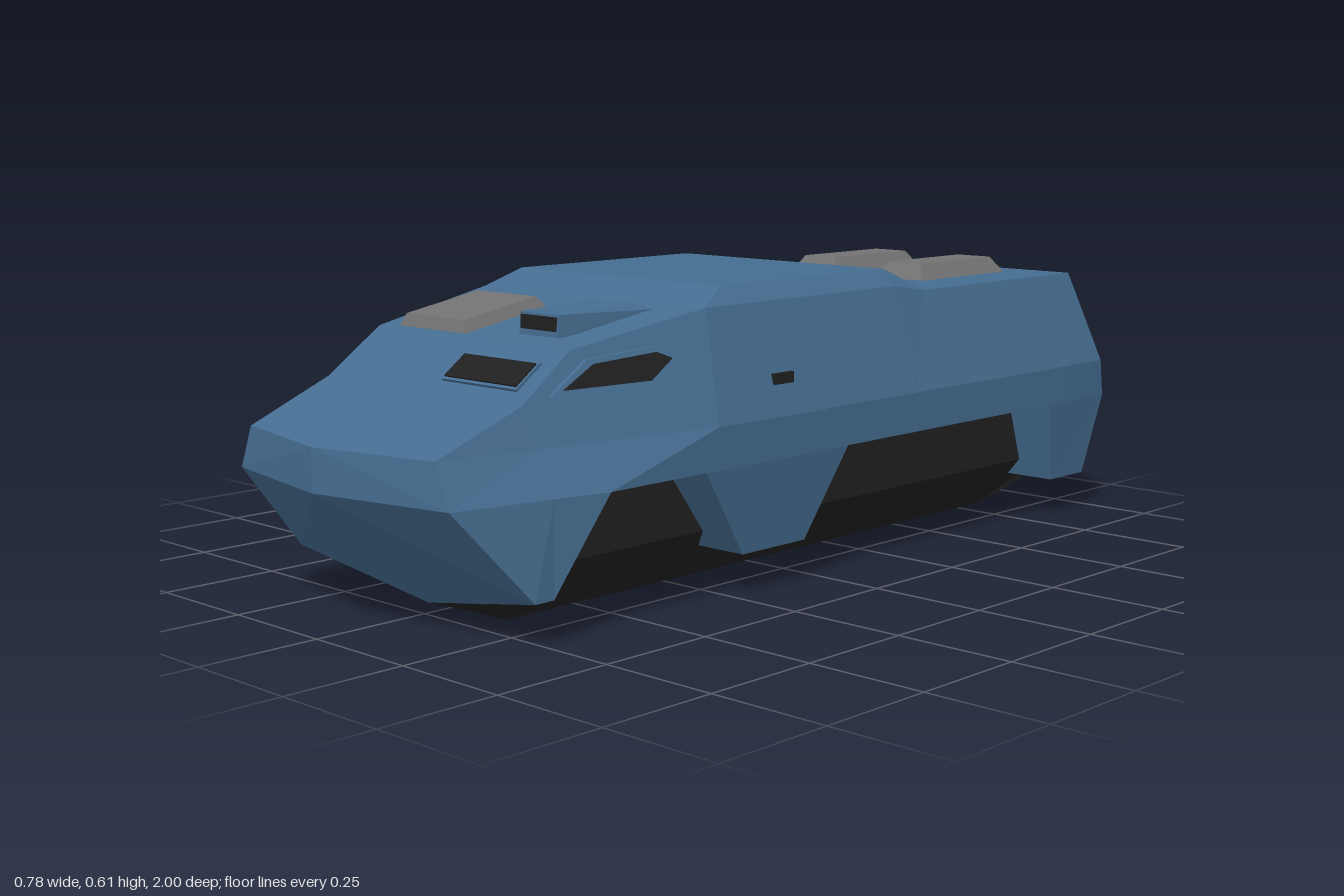
import * as THREE from 'three';
import { ConvexGeometry } from 'three/addons/geometries/ConvexGeometry.js';

const paint = (name, color) => new THREE.MeshStandardMaterial({ name, color, flatShading: true, side: THREE.DoubleSide });

// Collects flat quads, mirrored across x = 0, into one faceted geometry
class Facets {
  constructor() { this.pos = []; }
  tri(a, b, c) {
    const [p, q, r] = [a, b, c].map(v => new THREE.Vector3(...v));
    if (q.clone().sub(p).cross(r.clone().sub(p)).length() < 1e-7) return;
    this.pos.push(...a, ...b, ...c);
  }
  quad(a, b, c, d) {
    const m = ([x, y, z]) => [-x, y, z];
    this.tri(a, b, c); this.tri(a, c, d);
    this.tri(m(c), m(b), m(a)); this.tri(m(d), m(c), m(a));
  }
  // Skin between cross-sections ordered back to front, each running top to bottom
  loft(sections) {
    for (let i = 0; i + 1 < sections.length; i++) {
      const s = sections[i], t = sections[i + 1];
      for (let r = 0; r + 1 < s.length; r++) this.quad(s[r], t[r], t[r + 1], s[r + 1]);
    }
  }
  geometry() {
    const g = new THREE.BufferGeometry();
    g.setAttribute('position', new THREE.Float32BufferAttribute(this.pos, 3));
    g.computeVertexNormals();
    return g;
  }
}

// Half cross-section of the hull: centre, roof, shoulder, waist, sill, skirt, inner skirt
function section(roof, shoulder, waist, sill, skirt, inner) {
  return [[0, roof[1], roof[2]], roof, shoulder, waist, sill, skirt, inner];
}
function midSection(z, raised, arch) {
  const shoulder = [0.32, raised ? 0.575 : 0.56, z];
  const y = arch ? 0.27 : 0.085;
  return section(raised ? [0.29, 0.61, z] : shoulder, shoulder, [0.385, 0.355, z],
    [0.38, 0.27, z], [arch ? 0.38 : 0.35, y, z], [0.225, y, z]);
}

function hullGeometry() {
  const f = new Facets();
  const roofRear = [0.32, 0.56, -0.925], brow = [0.32, 0.575, 0.31];
  const screenTop = [0.28, 0.52, 0.625], screenBase = [0.285, 0.43, 0.75];
  const noseTop = [0.275, 0.355, 0.94], noseSide = [0.31, 0.27, 0.94], noseLow = [0.35, 0.085, 0.78];
  const rear = section(roofRear, roofRear, [0.382, 0.355, -0.978], [0.375, 0.27, -1], [0.35, 0.085, -0.96], [0.28, 0.085, -0.96]);
  const front = section(noseTop, noseTop, noseTop, noseSide, noseLow, [0.225, 0.062, 0.765]);
  front[0] = [0, 0.355, 1];
  f.loft([
    rear,
    midSection(-0.83, false, false),
    midSection(-0.77, false, true),
    midSection(-0.37, false, true),
    midSection(-0.27, true, true),
    midSection(-0.05, true, true),
    midSection(0.05, true, false),
    midSection(0.235, true, false),
    section(brow, brow, [0.385, 0.355, 0.34], [0.38, 0.27, 0.37], [0.38, 0.27, 0.37], [0.225, 0.27, 0.37]),
    section(screenTop, screenTop, [0.334, 0.355, 0.62], [0.38, 0.27, 0.62], [0.38, 0.27, 0.62], [0.225, 0.27, 0.62]),
    section(screenBase, screenBase, [0.3125, 0.355, 0.735], [0.354, 0.27, 0.735], [0.35, 0.085, 0.735], [0.225, 0.085, 0.735]),
    front,
  ]);
  // Pointed nose plates
  const noseMid = [0, 0.27, 1];
  f.quad(front[0], noseMid, noseSide, noseTop);
  f.quad(noseMid, [0, 0.02, 0.74], noseLow, noseSide);
  // Rear wall and corner pods with a recessed panel between them
  const [centre, , shoulder, waist, sill, skirt, inner] = rear;
  f.quad(shoulder, waist, [0, 0.355, -0.978], centre);
  f.quad(waist, sill, [0, 0.27, -1], [0, 0.355, -0.978]);
  const lip = [0.28, 0.27, -1], panelTop = [0.28, 0.255, -0.968], panelLow = [0.28, 0.085, -0.93];
  f.quad(sill, skirt, inner, lip);
  f.quad(lip, inner, panelLow, panelTop);
  f.quad(lip, panelTop, [0, 0.255, -0.968], [0, 0.27, -1]);
  f.quad(panelTop, panelLow, [0, 0.085, -0.93], [0, 0.255, -0.968]);
  return f.geometry();
}

function bellyGeometry() {
  const f = new Facets();
  const keel = z => [[0.27, 0.275, z], [0.27, 0.125, z], [0.145, 0, z], [0, 0, z]];
  f.loft([
    [[0.27, 0.275, -0.93], [0.27, 0.125, -0.93], [0.25, 0.085, -0.925], [0, 0.085, -0.925]],
    keel(-0.83),
    keel(0.67),
    [[0.27, 0.275, 0.76], [0.27, 0.125, 0.76], [0.2, 0.055, 0.757], [0, 0.02, 0.738]],
  ]);
  return f.geometry();
}

// Thin door skins following the side, just proud of it
function doorGeometry() {
  const f = new Facets();
  const rows = [[0.324, 0.572, 0.04, 0.23], [0.389, 0.355, 0.03, 0.235], [0.384, 0.27, 0.03, 0.235], [0.359, 0.11, 0.06, 0.2]];
  f.loft([rows.map(([x, y, z]) => [x, y, z]), rows.map(([x, y, , z]) => [x, y, z])]);
  return f.geometry();
}

// Box whose top is drawn in by a bevel
function hatchGeometry(w, h, d, bevel) {
  const g = new THREE.BoxGeometry(w, h, d).toNonIndexed(), p = g.attributes.position;
  for (let i = 0; i < p.count; i++) {
    if (p.getY(i) < 0) continue;
    p.setX(i, p.getX(i) - Math.sign(p.getX(i)) * bevel);
    p.setZ(i, p.getZ(i) - Math.sign(p.getZ(i)) * bevel);
  }
  g.computeVertexNormals();
  return g;
}

// Plate drawn in (z, y) and laid onto the sloping cheek beside the windscreen
function cheekPlate(points, depth) {
  const shape = new THREE.Shape(points.map(([z, y]) => new THREE.Vector2(-z, y)));
  const g = new THREE.ExtrudeGeometry(shape, { depth, bevelEnabled: false }), p = g.attributes.position;
  for (let i = 0; i < p.count; i++) {
    const z = -p.getX(i), y = p.getY(i);
    p.setXYZ(i, 0.561 - 0.32 * y - 0.183 * z + p.getZ(i), y, z);
  }
  g.computeVertexNormals();
  return g;
}

export function createModel() {
  const model = new THREE.Group();
  model.name = 'armouredVehicle';
  const blue = paint('blueArmour', 0x456d90);
  const grey = paint('greyHatch', 0x727272);
  const dark = paint('darkGlassAndBelly', 0x202020);
  const add = (name, geometry, material, x = 0, y = 0, z = 0, tilt = 0) => {
    const mesh = new THREE.Mesh(geometry, material);
    mesh.name = name;
    mesh.position.set(x, y, z);
    mesh.rotation.x = tilt;
    model.add(mesh);
  };

  add('hull', hullGeometry(), blue);
  add('belly', bellyGeometry(), dark);
  add('sideDoors', doorGeometry(), blue);

  for (const [side, s] of [['left', 1], ['right', -1]]) {
    add(side + 'DoorHandle', new THREE.BoxGeometry(0.009, 0.022, 0.06), dark, s * 0.367, 0.427, 0.14);
    add(side + 'RearHatch', hatchGeometry(0.14, 0.037, 0.315, 0.025), grey, s * 0.125, 0.577, -0.687);
    add(side + 'RearWindow', new THREE.BoxGeometry(0.23, 0.15, 0.008), dark, s * 0.132, 0.455, -0.953, 0.253);
  }

  // Roof hatch on the sloping front deck
  add('frontHatch', hatchGeometry(0.205, 0.025, 0.215, 0.014), grey, -0.132, 0.551, 0.508, 0.173);

  // Windscreen on the driver's side
  add('windscreenFrame', new THREE.BoxGeometry(0.21, 0.076, 0.008), blue, 0.139, 0.473, 0.693, -0.947);
  add('windscreen', new THREE.BoxGeometry(0.2, 0.062, 0.009), dark, 0.139, 0.475, 0.695, -0.947);

  // Cheek window
  add('cheekWindowFrame', cheekPlate([[0.69, 0.444], [0.6, 0.502], [0.45, 0.514], [0.4, 0.495], [0.465, 0.446]], 0.008), blue);
  add('cheekWindow', cheekPlate([[0.665, 0.452], [0.59, 0.493], [0.45, 0.504], [0.418, 0.491], [0.475, 0.454]], 0.011), dark);

  // Periscope wedge
  const wedge = [];
  for (const s of [-1, 1]) {
    for (const [x, y, z] of [[0.055, 0.53, 0.58], [0.052, 0.573, 0.578], [0.058, 0.581, 0.39], [0.072, 0.568, 0.35], [0.07, 0.555, 0.36]]) {
      wedge.push(new THREE.Vector3(0.145 + s * x, y, z));
    }
  }
  add('periscope', new ConvexGeometry(wedge), blue);
  add('periscopeGlass', new THREE.BoxGeometry(0.098, 0.027, 0.006), dark, 0.145, 0.555, 0.579);
  return model;
}
